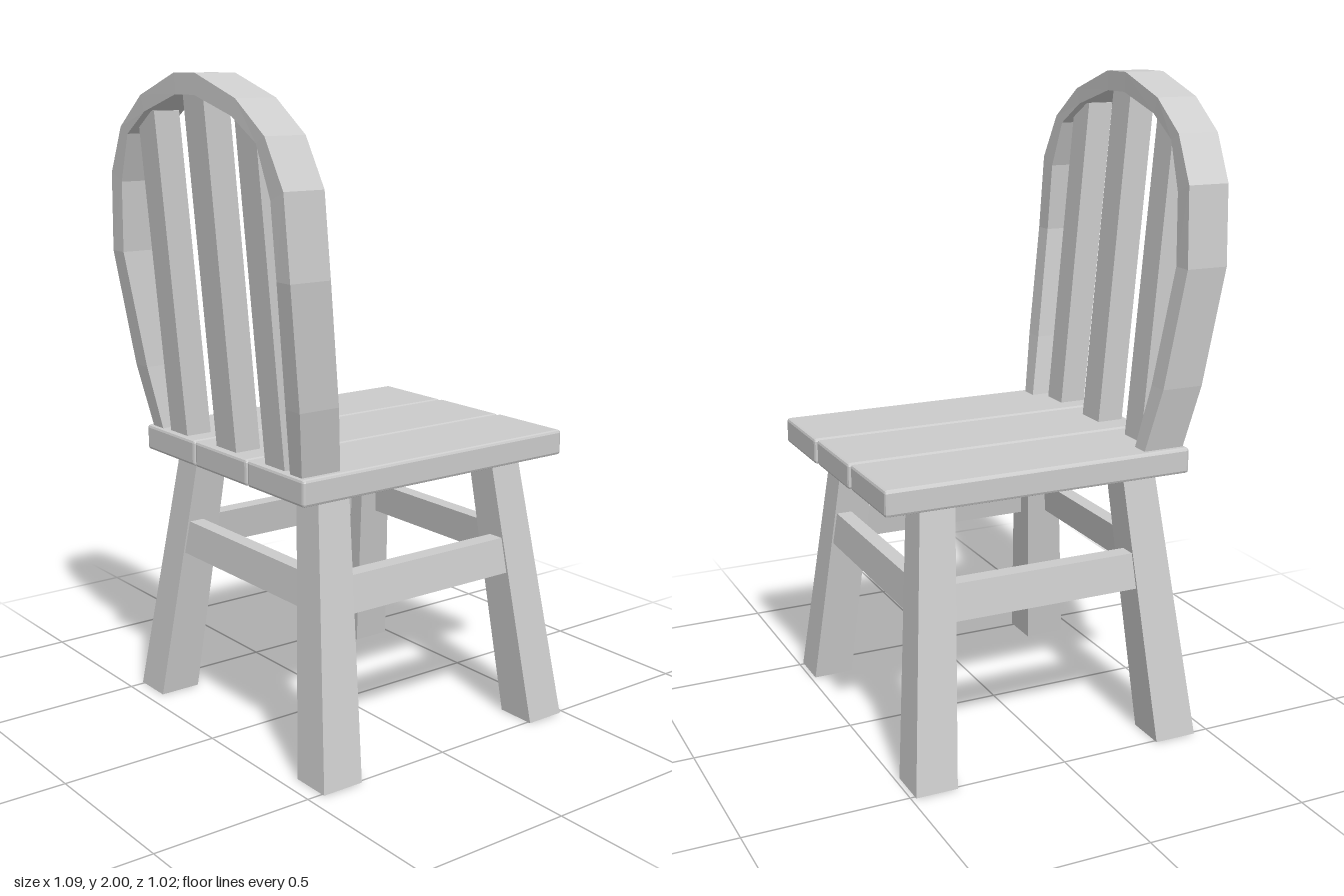
import * as THREE from 'three';
import { RoundedBoxGeometry } from 'three/addons/geometries/RoundedBoxGeometry.js';

const wood = new THREE.MeshStandardMaterial({ color: 0xcccccc, flatShading: true });

// Horizontal rectangular cross-section at height y
function rect(y, xa, xb, za, zb) {
  const x0 = Math.min(xa, xb), x1 = Math.max(xa, xb);
  const z0 = Math.min(za, zb), z1 = Math.max(za, zb);
  return [[x0, y, z1], [x1, y, z1], [x1, y, z0], [x0, y, z0]];
}

// Solid beam through a series of four-cornered cross-sections
function loft(sections) {
  const index = [];
  const quad = (a, b, c, d) => index.push(a, b, c, a, c, d);
  const last = (sections.length - 1) * 4;
  for (let s = 0; s < last; s += 4) {
    for (let i = 0; i < 4; i++) {
      const j = (i + 1) % 4;
      quad(s + i, s + j, s + 4 + j, s + 4 + i);
    }
  }
  quad(3, 2, 1, 0);
  quad(last, last + 1, last + 2, last + 3);
  const geometry = new THREE.BufferGeometry();
  geometry.setAttribute('position', new THREE.Float32BufferAttribute(sections.flat(2), 3));
  geometry.setIndex(index);
  const flat = geometry.toNonIndexed();
  flat.computeVertexNormals();
  return flat;
}

export function createModel() {
  const chair = new THREE.Group();
  chair.name = 'chair';
  const add = (name, geometry) => {
    const mesh = new THREE.Mesh(geometry, wood);
    mesh.name = name;
    chair.add(mesh);
    return mesh;
  };

  // Seat planks with small bevels and slightly uneven front ends
  [-1, 0, 1].forEach((k) => {
    const back = -0.455, front = 0.535 + k * 0.005;
    const plank = add('seatPlank', new RoundedBoxGeometry(front - back, 0.08, 0.28, 1, 0.009));
    plank.position.set((front + back) / 2, 0.865, k * 0.284);
  });

  // Splayed, tapered legs
  for (const s of [1, -1]) {
    add('frontLeg', loft([
      rect(0, 0.355, 0.485, s * 0.38, s * 0.51),
      rect(0.83, 0.295, 0.405, s * 0.265, s * 0.37),
    ]));
    add('backLeg', loft([
      rect(0, -0.45, -0.315, s * 0.38, s * 0.51),
      rect(0.83, -0.365, -0.255, s * 0.265, s * 0.37),
    ]));
    // Side stretchers lean with the legs
    add('sideStretcher', loft([
      rect(0.48, -0.30, 0.35, s * 0.37, s * 0.422),
      rect(0.59, -0.29, 0.34, s * 0.353, s * 0.405),
    ]));
  }

  // Front and back stretchers
  add('frontStretcher', loft([
    rect(0.495, 0.383, 0.432, -0.34, 0.34),
    rect(0.6, 0.372, 0.421, -0.325, 0.325),
  ]));
  add('backStretcher', loft([
    rect(0.495, -0.394, -0.345, -0.34, 0.34),
    rect(0.6, -0.382, -0.333, -0.325, 0.325),
  ]));

  // Bent hoop of the backrest: [outer z, outer y, inner z, inner y]
  const half = [
    [0.398, 0.89, 0.342, 0.89],
    [0.441, 1.1, 0.374, 1.1],
    [0.473, 1.46, 0.41, 1.46],
    [0.455, 1.7, 0.395, 1.675],
    [0.38, 1.84, 0.34, 1.82],
    [0.25, 1.935, 0.23, 1.888],
    [0.055, 2.0, 0.05, 1.94],
  ];
  // Front edge of the hoop at a given height
  const lean = [[0.89, -0.308], [1.1, -0.345], [1.46, -0.396], [1.7, -0.403], [2.0, -0.417]];
  const frontX = (y) => {
    const i = Math.max(1, lean.findIndex((p) => p[0] >= y));
    const [y0, x0] = lean[i - 1], [y1, x1] = lean[i];
    return x0 + (x1 - x0) * (y - y0) / (y1 - y0);
  };
  const outline = [...half, ...half.slice().reverse().map(([a, b, c, d]) => [-a, b, -c, d])];
  add('backHoop', loft(outline.map(([zo, yo, zi, yi]) => {
    const f = frontX(yo), b = f - 0.133;
    return [[b, yo, zo], [f, yo, zo], [f, yi, zi], [b, yi, zi]];
  })));

  // Leaning slats, the middle one taller and a little wider
  for (const k of [-1, 0, 1]) {
    const z = k * 0.26, w = k ? 0.048 : 0.053;
    const top = k ? 1.89 : 1.96;
    const f = k ? -0.35 : -0.345;
    add('backSlat', loft([
      rect(0.89, f - 0.085, f, z - w, z + w),
      rect(top, -0.525, -0.44, z - w, z + w),
    ]));
  }

  return chair;
}
